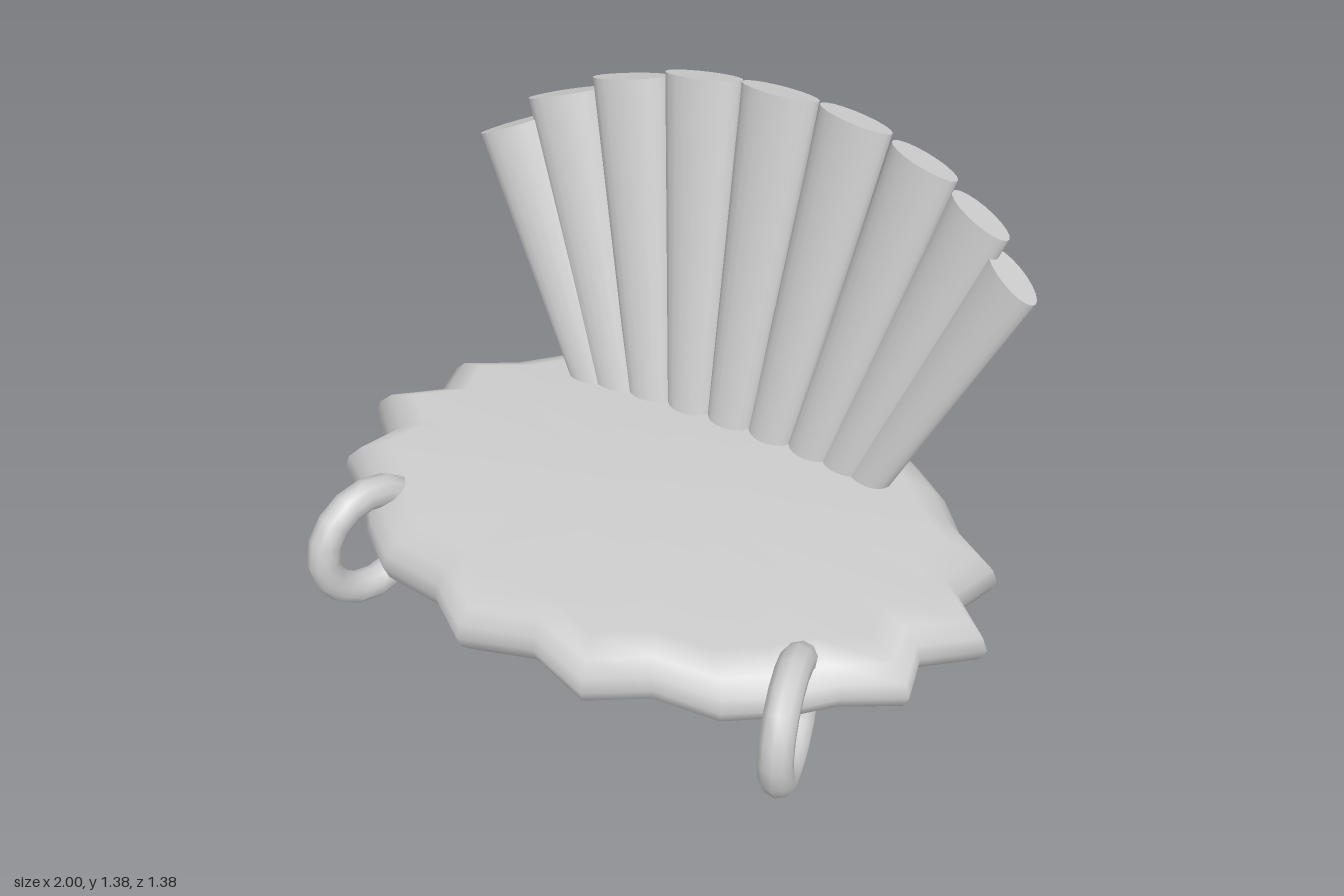
import * as THREE from 'three';
import { mergeVertices } from 'three/addons/utils/BufferGeometryUtils.js';

const stone = new THREE.MeshStandardMaterial({ color: 0xcccccc });
stone.name = 'pale grey';

function addMesh(group, geometry, name) {
  const mesh = new THREE.Mesh(geometry, stone);
  mesh.name = name;
  group.add(mesh);
  return mesh;
}

// Oval dish: a turned profile whose radius ripples around the rim
function dishGeometry() {
  const profile = [
    [0, 0], [0.1, 0], [0.45, 0.095], [0.8, 0.185], [0.92, 0.225], [0.98, 0.262],
    [1, 0.3], [0.985, 0.338], [0.94, 0.38], [0.85, 0.415], [0, 0.415],
  ].map(([r, y]) => new THREE.Vector2(r, y));
  let geo = new THREE.LatheGeometry(profile, 32);
  const pos = geo.attributes.position;
  for (let i = 0; i < pos.count; i++) {
    const x = pos.getX(i), z = pos.getZ(i);
    const ripple = 0.94 + 0.06 * Math.cos(14 * Math.atan2(z, x));
    pos.setX(i, x * ripple);
    pos.setZ(i, z * ripple * 0.705);
  }
  geo.deleteAttribute('uv');
  geo.deleteAttribute('normal');
  geo = mergeVertices(geo, 1e-4);
  geo.computeVertexNormals();
  return geo;
}

// Flattened rib between two points, widening upward and turned by yaw
function ribGeometry(bottom, top, bottomHalf, topHalf, depthHalf, yaw) {
  let geo = new THREE.CylinderGeometry(1, 1, 1, 20, 1);
  geo.deleteAttribute('uv');
  geo = mergeVertices(geo, 1e-4);
  const up = top.clone().sub(bottom).normalize();
  const across = new THREE.Vector3(Math.cos(yaw), 0, Math.sin(yaw));
  across.addScaledVector(up, -across.dot(up)).normalize();
  const out = across.clone().cross(up);
  const pos = geo.attributes.position;
  const p = new THREE.Vector3();
  for (let i = 0; i < pos.count; i++) {
    const t = pos.getY(i) + 0.5;
    p.lerpVectors(bottom, top, t)
      .addScaledVector(across, pos.getX(i) * THREE.MathUtils.lerp(bottomHalf, topHalf, t))
      .addScaledVector(out, pos.getZ(i) * depthHalf);
    pos.setXYZ(i, p.x, p.y, p.z);
  }
  geo.computeVertexNormals();
  return geo;
}

export function createModel() {
  const model = new THREE.Group();
  model.name = 'shellDish';

  addMesh(model, dishGeometry(), 'dish');

  // Fan of nine ribs: bottom x, bottom z, then top x, y, z from centre outward
  const ribs = [
    [0, -0.39, 0, 1.37, -0.617],
    [0.134, -0.39, 0.235, 1.358, -0.607],
    [0.265, -0.386, 0.455, 1.31, -0.577],
    [0.375, -0.378, 0.645, 1.23, -0.527],
    [0.46, -0.37, 0.775, 1.125, -0.46],
  ];
  const fan = new THREE.Group();
  fan.name = 'fan';
  model.add(fan);
  for (let i = -4; i <= 4; i++) {
    const k = Math.abs(i), side = Math.sign(i);
    const [bx, bz, tx, ty, tz] = ribs[k];
    const top = new THREE.Vector3(side * tx, ty, tz);
    const bottom = new THREE.Vector3(side * bx, 0.415, bz);
    bottom.lerp(top, -0.12); // sink the foot into the dish
    addMesh(fan, ribGeometry(bottom, top, 0.066, 0.118 - 0.003 * k, 0.05, side * k * 0.125), 'rib');
  }

  // Ring handles through the front corners of the rim
  for (const side of [-1, 1]) {
    const ring = addMesh(model, new THREE.TorusGeometry(0.155, 0.046, 10, 16), side > 0 ? 'leftRing' : 'rightRing');
    ring.position.set(side * 0.67, 0.265, 0.455);
    ring.rotation.y = Math.PI / 2 + side * 0.28;
  }
  return model;
}
